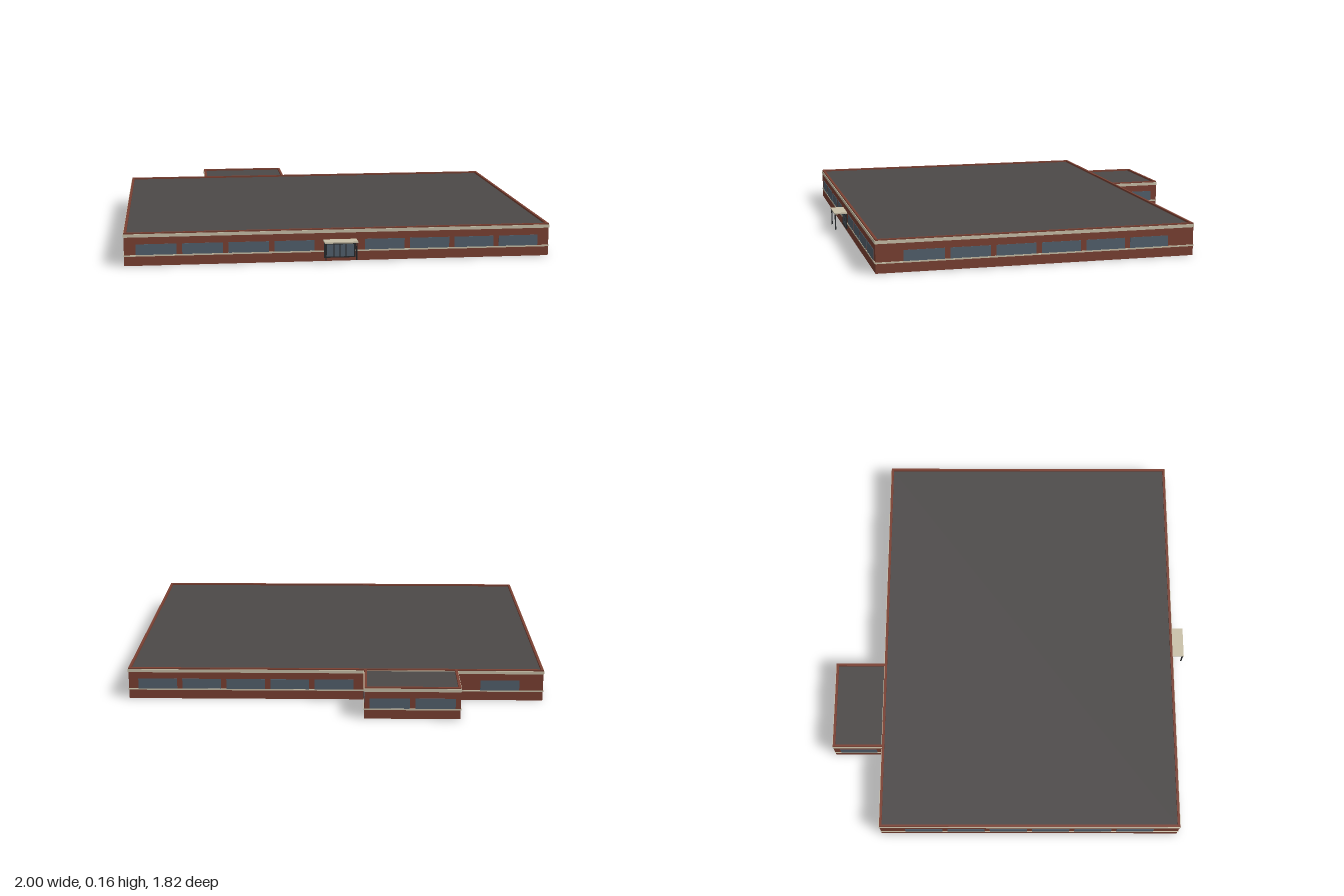
import * as THREE from 'three';

const mat = (name, color) => {
  const m = new THREE.MeshStandardMaterial({ color });
  m.name = name;
  return m;
};

export function createModel() {
  const brick = mat('brick', 0x7a4032);
  const roofing = mat('roofing', 0x4c4948);
  const stone = mat('stone', 0xc9c0a8);
  const glass = mat('glass', 0x52606d);
  const metal = mat('darkMetal', 0x25282b);

  const model = new THREE.Group();
  model.name = 'building';

  // Axis-aligned box given by its limits
  const block = (name, material, x0, x1, y0, y1, z0, z1, parent = model) => {
    const mesh = new THREE.Mesh(new THREE.BoxGeometry(x1 - x0, y1 - y0, z1 - z0), material);
    mesh.position.set((x0 + x1) / 2, (y0 + y1) / 2, (z0 + z1) / 2);
    mesh.name = name;
    parent.add(mesh);
    return mesh;
  };

  const T = 0.012, H = 0.155, ROOF = 0.146;
  const PITCH = 0.2125, WIN = 0.187;

  // One facade in local space: runs along x, outer face at z = 0 looking to +z
  const facade = (name, length, x, z, turn, centres) => {
    const g = new THREE.Group();
    g.name = name;
    g.position.set(x, 0, z);
    g.rotation.y = turn;
    model.add(g);
    const h = length / 2;
    block('wall', brick, -h, h, 0, H, -T, 0, g);
    block('corniceBand', stone, -h, h, 0.134, 0.149, -0.002, 0.003, g);
    block('sillBand', stone, -h, h, 0.044, 0.051, -0.002, 0.003, g);
    for (const c of centres)
      block('window', glass, c - WIN / 2, c + WIN / 2, 0.051, 0.101, -0.002, 0.002, g);
  };
  // Evenly spaced centres, symmetric about an offset
  const row = (n, offset = 0) =>
    Array.from({ length: n }, (_, i) => offset + (i - (n - 1) / 2) * PITCH);

  // Main hall: x -1..1, z -0.655..0.845
  const S = 0.997, F = 0.845, B = -0.655, midZ = (F + B) / 2;
  facade('frontFacade', 2 * S, 0, F, 0, row(9).filter((c) => Math.abs(c) > 0.1));
  facade('leftFacade', F - B, S, midZ, Math.PI / 2, row(6));
  facade('rightFacade', F - B, -S, midZ, -Math.PI / 2, row(6));
  // Back windows leave out the stretch covered by the annex (local x is mirrored)
  facade('backFacade', 2 * S, 0, B, Math.PI, [...row(5, -0.4325), 0.79]);
  block('mainRoof', roofing, -S + T, S - T, ROOF - 0.006, ROOF, B + T, F - T);

  // Rear annex
  const ax0 = -0.585, ax1 = -0.138, az = -0.905, amz = (az + B) / 2;
  facade('annexBack', ax1 - ax0, (ax0 + ax1) / 2, az, Math.PI, row(2));
  facade('annexLeft', B - az, ax1, amz, Math.PI / 2, row(1));
  facade('annexRight', B - az, ax0, amz, -Math.PI / 2, row(1));
  block('annexRoof', roofing, ax0 + T, ax1 - T, ROOF - 0.006, ROOF, az + T, B);

  // Entrance: glazing, frame and double door
  block('entranceGlass', glass, -0.066, 0.066, 0.02, 0.095, F, F + 0.004);
  for (const s of [-1, 1]) {
    block('entranceJamb', metal, s * 0.07 - 0.004, s * 0.07 + 0.004, 0.016, 0.098, F, F + 0.006);
    block('doorStile', metal, s * 0.028 - 0.002, s * 0.028 + 0.002, 0.02, 0.08, F, F + 0.006);
  }
  block('doorMeetingStile', metal, -0.0015, 0.0015, 0.02, 0.08, F, F + 0.006);
  block('transom', metal, -0.066, 0.066, 0.079, 0.083, F, F + 0.006);
  block('threshold', metal, -0.074, 0.074, 0.016, 0.021, F, F + 0.006);

  // Canopy on two slim posts
  block('canopy', stone, -0.078, 0.078, 0.096, 0.103, F, 0.91);
  for (const s of [-1, 1])
    block('canopyPost', metal, s * 0.072 - 0.003, s * 0.072 + 0.003, 0.016, 0.096, 0.902, 0.908);

  return model;
}
